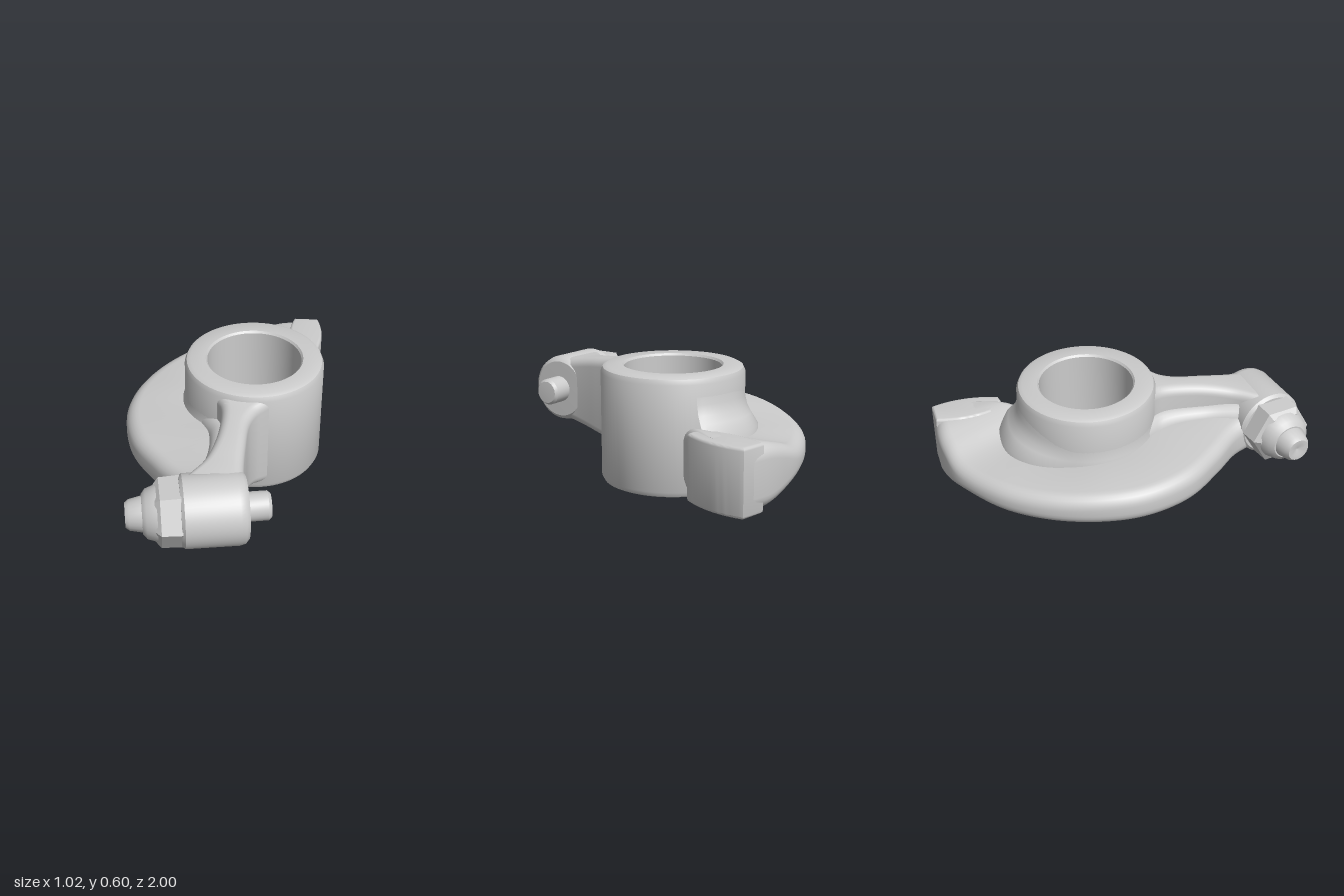
import * as THREE from 'three';
import { toCreasedNormals } from 'three/addons/utils/BufferGeometryUtils.js';

const material = new THREE.MeshStandardMaterial({ color: 0xcccccc, side: THREE.DoubleSide });

function mesh(name, geometry) {
  const m = new THREE.Mesh(geometry, material);
  m.name = name;
  return m;
}

function latheGeometry(points, segments, phiStart = 0, phiLength = Math.PI * 2) {
  const profile = points.map(([r, y]) => new THREE.Vector2(r, y));
  return new THREE.LatheGeometry(profile, segments, phiStart, phiLength);
}

// Sweeps a rounded-rectangle section between two edge curves.
// Station: [outer x, outer z, inner x, inner z, bottom, top]; swell thickens the inner edge.
function loft(stations, radius, steps, swell = 0) {
  const outer = new THREE.CatmullRomCurve3(stations.map(s => new THREE.Vector3(s[0], s[4], s[1])));
  const inner = new THREE.CatmullRomCurve3(stations.map(s => new THREE.Vector3(s[2], s[5], s[3])));
  const arc = 6, count = 4 * (arc + 1), positions = [], index = [];
  for (let i = 0; i <= steps; i++) {
    const p = outer.getPoint(i / steps), q = inner.getPoint(i / steps);
    const width = Math.hypot(q.x - p.x, q.z - p.z);
    const mid = (p.y + q.y) / 2, half = (q.y - p.y) / 2;
    const r = Math.min(radius, half * 0.98, width * 0.49);
    for (let c = 0; c < 4; c++) {
      const cx = c === 0 || c === 3 ? width - r : r;
      const cy = c < 2 ? half - r : r - half;
      for (let k = 0; k <= arc; k++) {
        const a = (c + k / arc) * Math.PI / 2;
        const s = (cx + r * Math.cos(a)) / width;
        const y = (cy + r * Math.sin(a)) * (1 + swell * s);
        positions.push(p.x + (q.x - p.x) * s, mid + y, p.z + (q.z - p.z) * s);
      }
    }
  }
  for (let i = 0; i < steps; i++) {
    for (let j = 0; j < count; j++) {
      const a = i * count + j, b = i * count + (j + 1) % count;
      index.push(a, b, a + count, b, b + count, a + count);
    }
  }
  const last = steps * count;
  for (let j = 1; j < count - 1; j++) {
    index.push(0, j + 1, j, last, last + j, last + j + 1);
  }
  const g = new THREE.BufferGeometry();
  g.setAttribute('position', new THREE.Float32BufferAttribute(positions, 3));
  g.setIndex(index);
  return toCreasedNormals(g, 0.8);
}

export function createModel() {
  const model = new THREE.Group();
  model.name = 'rockerArm';

  // Central bearing ring with softened rims
  const ring = mesh('bearingRing', toCreasedNormals(latheGeometry([
    [0.247, 0.014], [0.256, 0.003], [0.335, 0.003], [0.355, 0.012], [0.366, 0.035],
    [0.366, 0.57], [0.355, 0.595], [0.335, 0.605], [0.256, 0.605], [0.247, 0.594], [0.247, 0.014],
  ], 80), 0.6));
  ring.position.set(0.14, 0, -0.175);
  model.add(ring);

  // Cove where the web runs into the ring, broad at the back and tight round the side
  const coveGeometry = latheGeometry([
    [0.362, 0.53], [0.372, 0.47], [0.39, 0.42], [0.42, 0.385], [0.47, 0.33],
    [0.47, 0.15], [0.42, 0.125], [0.39, 0.1], [0.372, 0.07], [0.362, 0.04],
  ], 48, THREE.MathUtils.degToRad(163), THREE.MathUtils.degToRad(187));
  const cove = coveGeometry.attributes.position;
  for (let i = 0; i < cove.count; i++) {
    const x = cove.getX(i), y = cove.getY(i), z = cove.getZ(i);
    const r = Math.hypot(x, z), phi = (Math.atan2(x, z) + Math.PI * 2) % (Math.PI * 2);
    const spread = 1 - 0.78 * THREE.MathUtils.smoothstep(phi, 3.4, 4.5);
    const k = (0.362 + (r - 0.362) * spread) / r;
    cove.setXYZ(i, x * k, 0.25 + (y - 0.25) * (0.75 + 0.25 * spread), z * k);
  }
  const fillet = mesh('ringFillet', toCreasedNormals(coveGeometry, 0.9));
  fillet.position.copy(ring.position);
  model.add(fillet);

  // Crescent web, thick at the pad, thinner and gently rising toward the adjuster
  model.add(mesh('crescentWeb', loft([
    [0.3, -0.99, 0.36, -0.7, 0.054, 0.366],
    [0.15, -0.975, 0.335, -0.56, 0.058, 0.366],
    [0.04, -0.945, 0.29, -0.48, 0.085, 0.342],
    [-0.11, -0.875, 0.2, -0.45, 0.13, 0.3],
    [-0.33, -0.66, -0.02, -0.43, 0.14, 0.302],
    [-0.455, -0.42, -0.14, -0.3, 0.147, 0.315],
    [-0.512, -0.15, -0.17, -0.16, 0.155, 0.333],
    [-0.495, 0.08, -0.13, -0.02, 0.16, 0.342],
    [-0.39, 0.31, -0.02, 0.09, 0.163, 0.352],
    [-0.22, 0.48, 0.12, 0.15, 0.165, 0.36],
    [-0.07, 0.61, 0.16, 0.4, 0.168, 0.375],
    [0, 0.73, 0.2, 0.65, 0.18, 0.4],
  ], 0.07, 80, 0.12)));

  // Tall rib between ring and adjuster barrel, flaring into the ring wall
  model.add(mesh('armRib', loft([
    [-0.09, 0.09, 0.385, 0.08, 0.03, 0.59],
    [-0.01, 0.145, 0.315, 0.135, 0.045, 0.58],
    [0.035, 0.18, 0.275, 0.18, 0.055, 0.572],
    [0.06, 0.22, 0.247, 0.22, 0.064, 0.566],
    [0.08, 0.3, 0.229, 0.3, 0.085, 0.557],
    [0.09, 0.45, 0.245, 0.45, 0.115, 0.54],
    [0.07, 0.6, 0.267, 0.58, 0.14, 0.52],
    [0.01, 0.74, 0.287, 0.66, 0.155, 0.508],
  ], 0.05, 48)));

  // Lower shoulder blending the rib into the web
  model.add(mesh('ribShoulder', loft([
    [-0.1, 0.1, 0.2, 0.12, 0.1, 0.43],
    [0, 0.24, 0.18, 0.25, 0.12, 0.43],
    [0.035, 0.45, 0.18, 0.45, 0.14, 0.425],
    [-0.01, 0.66, 0.2, 0.62, 0.155, 0.45],
  ], 0.1, 24)));

  // Contact pad with a curved outer face and a hooked inner corner
  const padShape = new THREE.Shape();
  padShape.moveTo(0.2, 0.975);
  padShape.lineTo(0.335, 1.0);
  padShape.quadraticCurveTo(0.42, 0.84, 0.385, 0.64);
  padShape.lineTo(0.345, 0.625);
  padShape.quadraticCurveTo(0.3, 0.65, 0.25, 0.68);
  padShape.quadraticCurveTo(0.18, 0.82, 0.2, 0.975);
  const padGeometry = new THREE.ExtrudeGeometry(padShape, {
    depth: 0.306, bevelThickness: 0.015, bevelSize: 0.015, bevelOffset: -0.015,
    bevelSegments: 3, curveSegments: 16,
  });
  padGeometry.rotateX(-Math.PI / 2);
  padGeometry.translate(0, 0.058, 0);
  model.add(mesh('contactPad', toCreasedNormals(padGeometry, 0.6)));

  // Adjuster: parts turned about one slanted axis
  const adjuster = new THREE.Group();
  adjuster.name = 'adjuster';
  adjuster.position.set(0.155, 0.332, 0.75);
  adjuster.rotation.y = 0.358;
  const turned = (name, points, segments, crease = 0.6) => {
    const g = latheGeometry(points, segments).rotateZ(-Math.PI / 2);
    adjuster.add(mesh(name, toCreasedNormals(g, crease)));
  };
  turned('barrel', [[0, -0.155], [0.165, -0.155], [0.18, -0.14], [0.182, 0.12],
    [0.175, 0.147], [0.155, 0.165], [0, 0.168]], 56);
  turned('lockNut', [[0, -0.275], [0.14, -0.275], [0.17, -0.25], [0.175, -0.15], [0, -0.15]], 6, 0.2);
  turned('nutCollar', [[0, -0.335], [0.095, -0.335], [0.12, -0.315], [0.138, -0.265], [0, -0.265]], 32);
  turned('screwTip', [[0, -0.4], [0.035, -0.415], [0.06, -0.415], [0.075, -0.395],
    [0.09, -0.325], [0, -0.325]], 24);
  turned('ballPin', [[0, 0.14], [0.072, 0.14], [0.072, 0.265], [0.06, 0.28], [0, 0.284]], 32);
  model.add(adjuster);

  return model;
}
